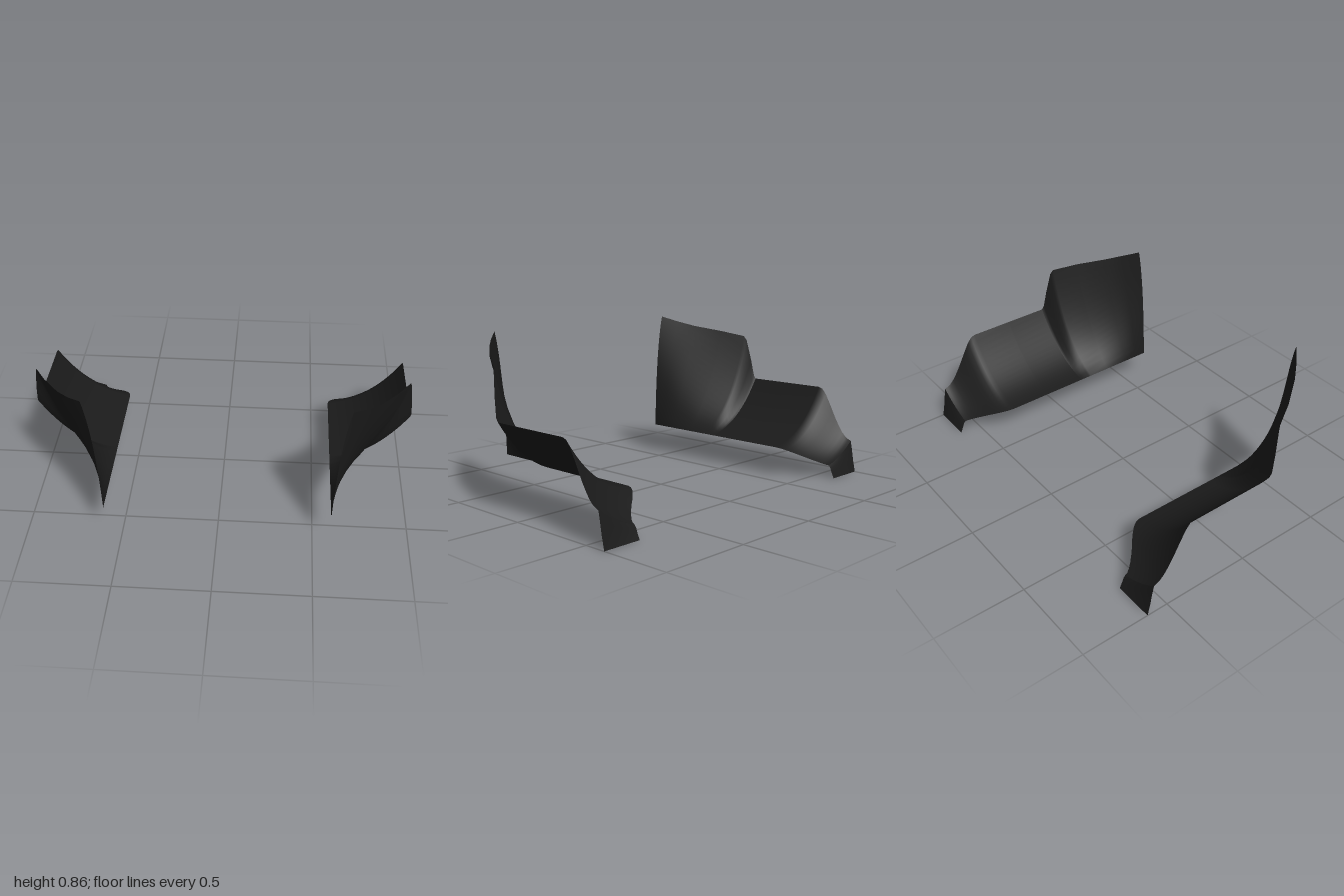
import * as THREE from 'three';

const COLUMNS = 16;

// Each station: [inner x,y,z], [control x,y], [outer x,y,z]; the section is a quadratic curve between the edges.
const mid = z => [[0.59, 0.17, z], [0.83, 0.2], [1, 0.475, z]];

// Tall blade that twists upright towards the front
const blade = [
  [[0.59, 0.17, 0.62], [0.6, 0.66], [0.65, 0.86, 0.62]],
  [[0.59, 0.17, 0.55], [0.65, 0.57], [0.725, 0.828, 0.55]],
  [[0.59, 0.17, 0.47], [0.7, 0.48], [0.795, 0.8, 0.47]],
  [[0.59, 0.17, 0.33], [0.785, 0.36], [0.895, 0.77, 0.33]],
  [[0.59, 0.17, 0.205], [0.85, 0.28], [0.965, 0.742, 0.205]],
  [[0.59, 0.17, 0.19], [0.847, 0.265], [0.975, 0.715, 0.19]],
  [[0.59, 0.17, 0.165], [0.838, 0.235], [0.992, 0.59, 0.165]],
  [[0.59, 0.17, 0.147], [0.832, 0.21], [1, 0.495, 0.147]],
  mid(0.133),
];

// S-shaped drop behind the level run: [z, inner progress, outer progress]
const drop = [
  [-0.375, 0.03, 0.03], [-0.4, 0.11, 0.13], [-0.425, 0.23, 0.28], [-0.45, 0.37, 0.44],
  [-0.475, 0.53, 0.6], [-0.5, 0.67, 0.74], [-0.525, 0.8, 0.86], [-0.55, 0.91, 0.945],
  [-0.57, 0.98, 0.98], [-0.585, 1, 1],
].map(([z, a, b]) => [
  [0.59 + 0.19 * a, 0.17 - 0.1 * a, z],
  [0.83 + 0.07 * a, 0.2 - 0.1 * b],
  [1, 0.475 - 0.295 * b, z],
]);
const run = [mid(0.133), mid(-0.11), mid(-0.35), ...drop];

// Short flap bent down at the rear
const flap = [
  drop[drop.length - 1],
  [[0.78, 0.055, -0.597], [0.9, 0.075], [1, 0.13, -0.595]],
  [[0.78, 0.035, -0.604], [0.9, 0.045], [1, 0.07, -0.605]],
  [[0.78, 0, -0.62], [0.9, 0], [1, 0, -0.62]],
];

// Loft a sheet through the stations
function sheet(stations, side) {
  const positions = [], index = [];
  for (const [a, c, b] of stations) {
    for (let j = 0; j <= COLUMNS; j++) {
      const t = j / COLUMNS, u = 1 - t;
      positions.push(
        side * (u * u * a[0] + 2 * u * t * c[0] + t * t * b[0]),
        u * u * a[1] + 2 * u * t * c[1] + t * t * b[1],
        u * a[2] + t * b[2],
      );
    }
  }
  const w = COLUMNS + 1;
  for (let i = 0; i < stations.length - 1; i++) {
    for (let j = 0; j < COLUMNS; j++) {
      const p = i * w + j, q = p + w;
      if (side > 0) index.push(p, p + 1, q, p + 1, q + 1, q);
      else index.push(p, q, p + 1, p + 1, q, q + 1);
    }
  }
  const geometry = new THREE.BufferGeometry();
  geometry.setAttribute('position', new THREE.Float32BufferAttribute(positions, 3));
  geometry.setIndex(index);
  geometry.computeVertexNormals();
  return geometry;
}

export function createModel() {
  const model = new THREE.Group();
  model.name = 'curvedSidePanels';
  const black = new THREE.MeshStandardMaterial({ color: 0x1b1b1b, side: THREE.DoubleSide });
  black.name = 'matte black';

  for (const side of [1, -1]) {
    const panel = new THREE.Group();
    panel.name = side > 0 ? 'leftPanel' : 'rightPanel';
    for (const [name, stations] of Object.entries({ frontBlade: blade, middleRun: run, rearFlap: flap })) {
      const mesh = new THREE.Mesh(sheet(stations, side), black);
      mesh.name = name;
      panel.add(mesh);
    }
    model.add(panel);
  }
  return model;
}
